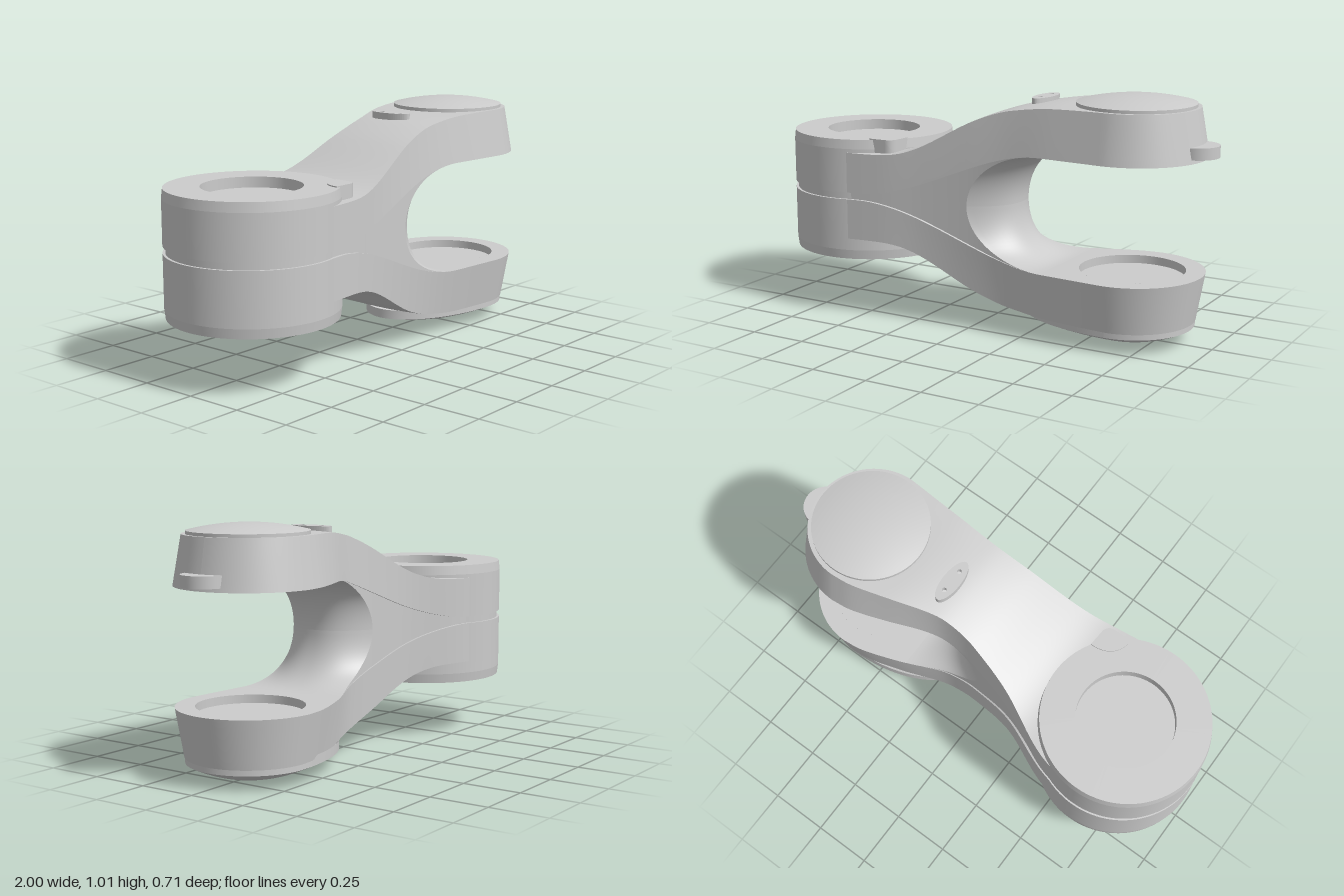
import * as THREE from 'three';

const MID = 0.53;          // height of the split plane
const PIVOT = 0.64;        // x of the fork joint
const HUB = -0.645;        // x of the hub axis
const ROOT = 0.35;         // where the fork arms become straight
const INNER = 0.24;        // inner fork face above the split plane
const POCKET = 0.22;       // radius of the joint pockets

const mat = new THREE.MeshStandardMaterial({ color: 0xcccccc, side: THREE.DoubleSide });

function add(parent, name, geo, x = 0, y = 0, z = 0) {
  const m = new THREE.Mesh(geo, mat);
  m.name = name;
  m.position.set(x, y, z);
  parent.add(m);
  return m;
}

// Smooth function through a few [x, y] points
function smoothCurve(p) {
  const slope = p.map((_, i) => {
    const a = p[Math.max(i - 1, 0)], b = p[Math.min(i + 1, p.length - 1)];
    return (b[1] - a[1]) / (b[0] - a[0]);
  });
  return x => {
    let i = 0;
    while (i < p.length - 2 && x > p[i + 1][0]) i++;
    const h = p[i + 1][0] - p[i][0], t = (x - p[i][0]) / h, q = 1 - t;
    return p[i][1] * (1 + 2 * t) * q * q + p[i + 1][1] * t * t * (3 - 2 * t)
      + h * (slope[i] * t * q * q - slope[i + 1] * t * t * q);
  };
}

// Grid surface: stations along x by nv steps across
function patch(stations, nv, fn) {
  const pos = [], idx = [], w = nv + 1;
  stations.forEach((s, i) => {
    for (let j = 0; j <= nv; j++) {
      pos.push(...fn(s, j / nv));
      if (i && j) {
        const a = (i - 1) * w + j - 1, b = i * w + j - 1;
        idx.push(a, a + 1, b, b, a + 1, b + 1);
      }
    }
  });
  const g = new THREE.BufferGeometry();
  g.setAttribute('position', new THREE.Float32BufferAttribute(pos, 3));
  g.setIndex(idx);
  g.computeVertexNormals();
  return g;
}

// Lathe built from separately smoothed pieces, so the rims stay sharp
function turned(parent, name, profile, x, y, seg = 72) {
  const g = new THREE.Group();
  g.name = name;
  g.position.set(x, y, 0);
  for (let i = 1; i < profile.length; i++) {
    const pts = [profile[i - 1], profile[i]].map(p => new THREE.Vector2(...p));
    add(g, name + 'Face', new THREE.LatheGeometry(pts, seg));
  }
  parent.add(g);
  return g;
}

// Rim and shallow dome; `stretch` lengthens the side towards the hub
function domeCap(parent, name, r, rim, rise, stretch, x, y) {
  const g = new THREE.Group();
  g.name = name;
  g.position.set(x, y, 0);
  const dome = [];
  for (let i = 0; i <= 12; i++) dome.push(new THREE.Vector2(r * (1 - i / 12), rim + rise * (1 - (1 - i / 12) ** 2)));
  const side = [new THREE.Vector2(r, 0), new THREE.Vector2(r, rim)];
  for (const pts of [side, dome]) {
    const geo = new THREE.LatheGeometry(pts, 72);
    const p = geo.attributes.position;
    for (let i = 0; i < p.count; i++) if (p.getX(i) < 0) p.setX(i, p.getX(i) * stretch);
    geo.computeVertexNormals();
    add(g, name + 'Surface', geo);
  }
  parent.add(g);
  return g;
}

// Plan outline and side profile of the body
const backWaist = smoothCurve([[HUB, -0.353], [-0.45, -0.312], [-0.2, -0.2], [0, -0.157], [0.1, -0.15],
  [0.2, -0.163], [0.4, -0.24], [0.55, -0.289], [PIVOT, -0.3]]);
const frontWaist = smoothCurve([[HUB, 0.353], [-0.4, 0.325], [-0.2, 0.295], [0, 0.274], [0.18, 0.266],
  [0.4, 0.282], [PIVOT, 0.3]]);
const outerY = smoothCurve([[HUB, 0.19], [-0.4, 0.19], [-0.3, 0.203], [-0.2, 0.24], [0, 0.347], [0.1, 0.388],
  [0.2, 0.415], [0.4, 0.438], [0.94, 0.442]]);

const edgeZ = (s, side) => s > PIVOT
  ? side * Math.sqrt(Math.max(0, 0.09 - (s - PIVOT) ** 2))
  : (side > 0 ? frontWaist(s) : backWaist(s));
const taper = s => 1 - 0.117 * THREE.MathUtils.smoothstep(s, -0.4, 0.5);
const inset = s => 1 - 0.04 * (1 - THREE.MathUtils.smoothstep(s, 0, ROOT));
const innerY = s => s <= 0 ? 0 : INNER * Math.sqrt(Math.max(0, 1 - (1 - Math.min(s, ROOT) / ROOT) ** 2));
const seamY = s => Math.max(innerY(s), 0.015 + 0.225 * THREE.MathUtils.smoothstep(s, -0.5, ROOT));
const taperX = s => s > PIVOT ? PIVOT + (s - PIVOT) * taper(s) : s;
const mix = THREE.MathUtils.lerp;

function range(n, f) { return Array.from({ length: n + 1 }, (_, i) => f(i / n)); }
const neck = range(32, t => mix(HUB, 0, t));
const arch = range(20, t => ROOT * (1 - Math.cos(t * Math.PI / 2)));
const arm = [...range(12, t => mix(ROOT, PIVOT, t)), ...range(24, t => PIVOT + 0.3 * Math.sin(t * Math.PI / 2)).slice(1)];
const whole = [...neck, ...arch.slice(1), ...arm.slice(1)];
const root = [...neck, ...arch.slice(1)];

// One half of the fork, from the split plane outwards
function forkHalf(name) {
  const g = new THREE.Group();
  g.name = name;
  add(g, 'armOuterFace', patch(whole, 16, (s, v) => {
    const crown = 0.008 * (1 - (2 * v - 1) ** 2) * (1 - THREE.MathUtils.smoothstep(s, 0.2, 0.5));
    return [taperX(s), outerY(s) + crown, mix(edgeZ(s, -1), edgeZ(s, 1), v) * taper(s)];
  }));
  for (const side of [-1, 1]) {
    add(g, 'armSideWall', patch(whole, 6, (s, v) =>
      [mix(s, taperX(s), v), mix(seamY(s), outerY(s), v), edgeZ(s, side) * mix(1, taper(s), v)]));
    add(g, 'seamStep', patch(root, 1, (s, v) => [s, seamY(s), edgeZ(s, side) * mix(inset(s), 1, v)]));
    add(g, 'webSide', patch(root, 4, (s, v) => [s, mix(innerY(s), seamY(s), v), edgeZ(s, side) * inset(s)]));
  }
  // Bulging web between the arms
  add(g, 'webArch', patch(arch, 24, (s, v) => {
    const bulge = 0.15 * (1 - Math.abs(2 * v - 1) ** 2.5) * (1 - s / ROOT);
    return [s + bulge, innerY(s), mix(edgeZ(s, -1), edgeZ(s, 1), v) * inset(s)];
  }));
  // Inner joint face with its round pocket
  const outline = [...arm.map(s => new THREE.Vector2(s, -edgeZ(s, 1))),
    ...arm.slice(0, -1).reverse().map(s => new THREE.Vector2(s, -edgeZ(s, -1)))];
  const shape = new THREE.Shape(outline);
  shape.holes.push(new THREE.Path().absarc(PIVOT, 0, POCKET, 0, Math.PI * 2, true));
  add(g, 'jointFace', new THREE.ShapeGeometry(shape, 48).rotateX(-Math.PI / 2), 0, INNER, 0);
  turned(g, 'jointPocket', [[POCKET, 0], [POCKET, 0.035], [0, 0.035]], PIVOT, INNER);
  g.position.y = MID;
  return g;
}

// Extrude a plan shape upwards
function plate(shape, depth) {
  return new THREE.ExtrudeGeometry(shape, { depth, bevelEnabled: false, curveSegments: 24 }).rotateX(-Math.PI / 2);
}

export function createModel() {
  const model = new THREE.Group();
  model.name = 'forkedArmLink';

  model.add(forkHalf('upperFork'));
  const lower = forkHalf('lowerFork');
  lower.scale.y = -1;
  model.add(lower);

  // Hub with a groove around the middle and a pocket at each end
  turned(model, 'hub', [[0, 0.295], [0.205, 0.295], [0.205, 0.25], [0.35, 0.25], [0.355, 0.29], [0.355, 0.515],
    [0.344, 0.515], [0.344, 0.545], [0.355, 0.545], [0.355, 0.735], [0.35, 0.775], [0.205, 0.775],
    [0.205, 0.73], [0, 0.73]], HUB, 0, 96);

  // Domed covers over the fork joint
  domeCap(model, 'upperCap', 0.245, 0.02, 0.03, 1, 0.645, 0.965);
  const lowerCap = domeCap(model, 'lowerCap', 0.262, 0.04, 0.065, 1.83, PIVOT, 0.105);
  lowerCap.scale.y = -1;

  // Tab on the end of the upper arm
  add(model, 'endTab', new THREE.CylinderGeometry(0.092, 0.092, 0.048, 48), 0.908, 0.81, 0);

  // Oval stud with two small holes
  const oval = new THREE.Shape().absellipse(0, 0, 0.038, 0.1, 0, Math.PI * 2);
  for (const y of [-0.05, 0.05]) oval.holes.push(new THREE.Path().absarc(0, y, 0.01, 0, Math.PI * 2, true));
  add(model, 'ovalStud', plate(oval, 0.045), 0.23, 0.935, 0);

  // Small catch at the rim of the hub
  const catchShape = new THREE.Shape();
  catchShape.moveTo(-0.47, -0.29);
  catchShape.quadraticCurveTo(-0.46, -0.18, -0.345, -0.18);
  catchShape.lineTo(-0.35, -0.26);
  catchShape.quadraticCurveTo(-0.36, -0.29, -0.39, -0.29);
  add(model, 'hubCatch', plate(catchShape, 0.065), 0, 0.715, 0);

  return model;
}
